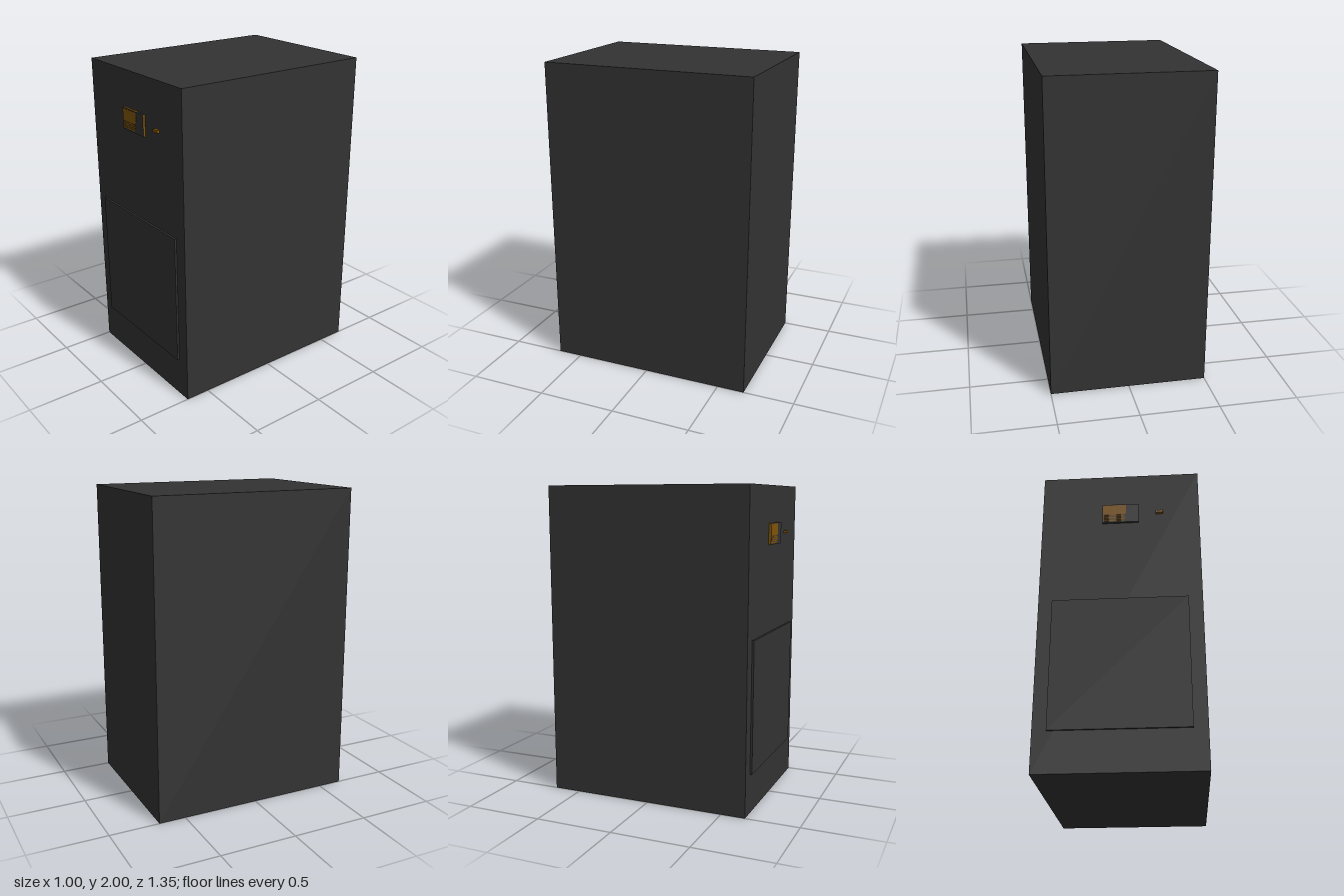
import * as THREE from 'three';

export function createModel() {
  const group = new THREE.Group();
  const charcoal = new THREE.MeshStandardMaterial({ color: 0x333333 });
  charcoal.name = 'charcoal';
  const amber = new THREE.MeshStandardMaterial({ color: 0x7f540a });
  amber.name = 'amber';

  // Box given by its lower and upper limits on each axis
  function box(name, material, [x0, x1], [y0, y1], [z0, z1]) {
    const mesh = new THREE.Mesh(new THREE.BoxGeometry(x1 - x0, y1 - y0, z1 - z0), material);
    mesh.position.set((x0 + x1) / 2, (y0 + y1) / 2, (z0 + z1) / 2);
    mesh.name = name;
    group.add(mesh);
    return mesh;
  }

  const front = 0.657;
  box('cabinet', charcoal, [-0.5, 0.5], [0, 2], [-0.675, front]);
  box('accessPanel', charcoal, [-0.415, 0.415], [0.252, 1.085], [front, 0.67]);

  // Display housing with amber side edges
  box('displayHousing', [amber, amber, charcoal, charcoal, charcoal, charcoal],
    [-0.115, 0.115], [1.636, 1.77], [front, 0.671]);

  // Lit part of the display: a solid block above thin rows
  box('displayTopEdge', amber, [-0.112, 0.04], [1.769, 1.771], [front, 0.671]);
  box('displayBlock', amber, [-0.112, 0.036], [1.698, 1.764], [0.671, 0.673]);
  for (let i = 0; i < 5; i++) {
    const y = 1.645 + i * 0.0115;
    box('displayRow', amber, [-0.112, 0.02 + 0.006 * (i % 3)], [y, y + 0.0075], [0.671, 0.673]);
  }

  // Indicator lamp beside the display
  box('indicatorLamp', amber, [0.225, 0.27], [1.696, 1.714], [front, 0.675]);

  return group;
}
